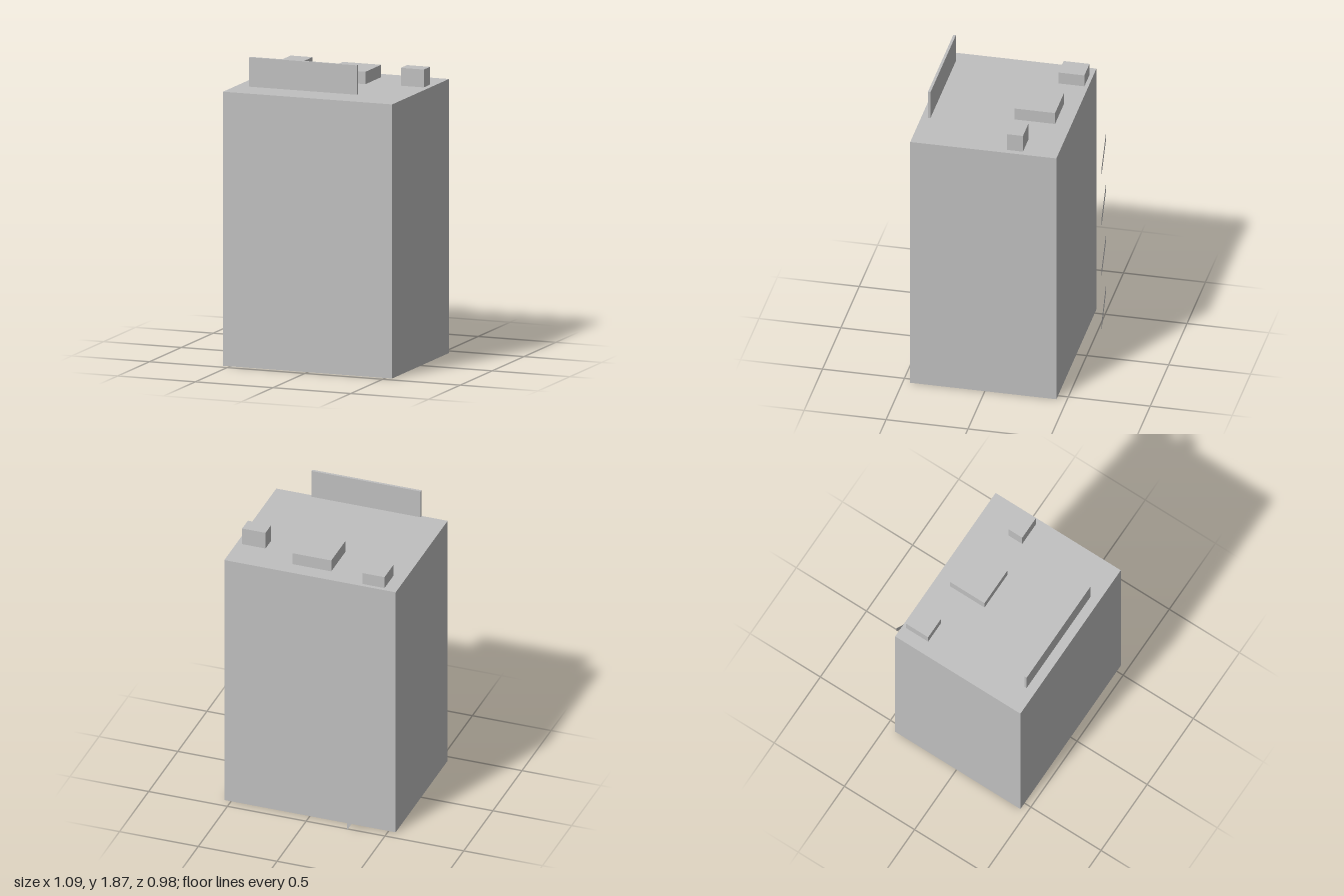
import * as THREE from 'three';

export function createModel() {
  const model = new THREE.Group();
  model.name = 'building';

  const concrete = new THREE.MeshStandardMaterial({ color: 0xbfbfbf, side: THREE.DoubleSide });
  concrete.name = 'concrete grey';

  const add = (name, geometry) => {
    const mesh = new THREE.Mesh(geometry, concrete);
    mesh.name = name;
    model.add(mesh);
    return mesh;
  };

  // Box given by its limits on each axis
  const box = (name, [x0, x1], [y0, y1], [z0, z1]) => {
    const geometry = new THREE.BoxGeometry(x1 - x0, y1 - y0, z1 - z0);
    geometry.translate((x0 + x1) / 2, (y0 + y1) / 2, (z0 + z1) / 2);
    return add(name, geometry);
  };

  // Tower shell: four walls and a roof, open underneath
  const roofY = 1.66;
  const tower = box('tower', [-0.545, 0.543], [0, roofY], [-0.437, 0.455]).geometry;
  const faces = Array.from(tower.index.array);
  faces.splice(18, 6); // the bottom face
  tower.setIndex(faces);
  tower.clearGroups();

  // Rooftop units
  box('roofVent', [-0.465, -0.325], [roofY, 1.735], [-0.413, -0.255]);
  box('roofHatch', [-0.1, 0.147], [roofY, 1.735], [-0.34, -0.093]);
  box('roofCooler', [0.36, 0.508], [roofY, 1.768], [-0.225, -0.127]);

  // Blank sign board raised above the front edge
  box('signBoard', [-0.398, 0.295], [1.692, 1.87], [0.387, 0.403]);

  // Flat stair flights set off from the back wall
  for (let i = 0; i < 4; i++) {
    const low = i === 0 ? 0.01 : 0.38 + 0.35 * (i - 1);
    const high = 0.205 + 0.35 * i;
    const flight = new THREE.Shape([
      new THREE.Vector2(-0.39, high),
      new THREE.Vector2(-0.27, low),
      new THREE.Vector2(-0.27, low + 0.053),
      new THREE.Vector2(-0.39, high + 0.053),
    ]);
    add('stairFlight' + (i + 1), new THREE.ShapeGeometry(flight)).position.z = -0.529;
  }

  return model;
}
